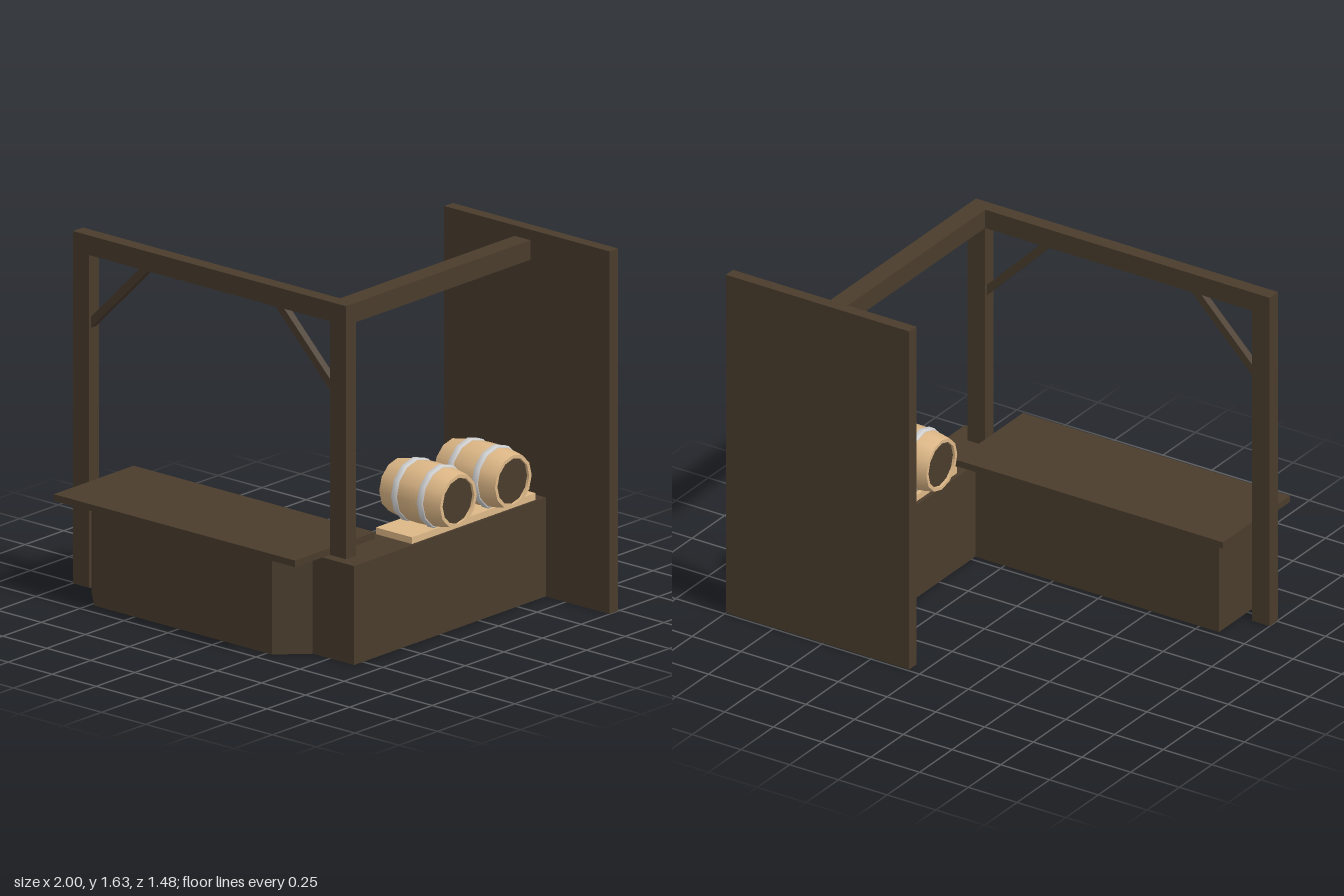
import * as THREE from 'three';

const mat = (name, color, side = THREE.FrontSide) => {
  const m = new THREE.MeshStandardMaterial({ color, side });
  m.name = name;
  return m;
};

export function createModel() {
  const darkWood = mat('dark wood', 0x4a3c2d);
  const paleWood = mat('pale wood', 0xdeb887, THREE.DoubleSide);
  const hoopMetal = mat('hoop metal', 0xd3d3d3, THREE.DoubleSide);

  const group = new THREE.Group();
  group.name = 'barCounter';

  const add = (name, geo, material, parent = group) => {
    const mesh = new THREE.Mesh(geo, material);
    mesh.name = name;
    parent.add(mesh);
    return mesh;
  };
  // Box given by its extents on each axis
  const box = (name, [x0, x1], [y0, y1], [z0, z1], material = darkWood) => {
    const geo = new THREE.BoxGeometry(x1 - x0, y1 - y0, z1 - z0);
    geo.translate((x0 + x1) / 2, (y0 + y1) / 2, (z0 + z1) / 2);
    return add(name, geo, material);
  };
  // Prism from an outline of [a, b] points
  const prism = (points, depth) => new THREE.ExtrudeGeometry(
    new THREE.Shape(points.map(([a, b]) => new THREE.Vector2(a, b))),
    { depth, bevelEnabled: false });

  // Back wall
  box('backWall', [0.06, 1], [0, 1.63], [-0.74, -0.685]);

  // Counters
  box('sideCounter', [0.4, 0.637], [0, 0.445], [-0.685, 0.557]);
  const body = prism([[-0.85, -0.28], [-0.85, -0.56], [-0.73, -0.68],
    [0.28, -0.68], [0.4, -0.56], [0.4, -0.28]], 0.445);
  body.rotateX(-Math.PI / 2);
  add('frontCounter', body, darkWood);
  box('counterTop', [-0.91, 0.46], [0.446, 0.476], [0.22, 0.737]);
  box('barrelPlank', [0.42, 0.625], [0.445, 0.475], [-0.633, 0.168], paleWood);

  // Posts and beams
  box('leftPost', [-1, -0.91], [0, 1.495], [0.445, 0.51]);
  box('rightPost', [0.46, 0.55], [0.445, 1.495], [0.445, 0.51]);
  box('frontBeam', [-1, 0.55], [1.495, 1.583], [0.445, 0.51]);
  box('sideBeam', [0.46, 0.55], [1.495, 1.583], [-0.685, 0.445]);

  // Diagonal braces, mirrored between the two posts
  for (const [name, x, s] of [['leftBrace', -0.91, 1], ['rightBrace', 0.46, -1]]) {
    const pts = [[x, 1.165], [x + s * 0.33, 1.495], [x + s * 0.28, 1.495], [x, 1.215]];
    const geo = prism(pts, 0.035);
    geo.translate(0, 0, 0.46);
    add(name, geo, darkWood);
  }

  // Barrels lying along x
  const sides = 12;
  const half = 0.173;
  const radiusAt = (t) => 0.137 - 0.018 * (t / half) ** 2;
  const lathe = (pts) => new THREE.LatheGeometry(
    pts.map(([r, y]) => new THREE.Vector2(r, y)), sides);

  for (const [i, z] of [-0.05, -0.405].entries()) {
    const barrel = new THREE.Group();
    barrel.name = `barrel${i + 1}`;
    barrel.position.set(0.525, 0.6, z);
    barrel.rotation.z = -Math.PI / 2;
    group.add(barrel);

    // Bulging staves
    const profile = [];
    for (let k = 0; k <= 8; k++) {
      const t = -half + (2 * half * k) / 8;
      profile.push([radiusAt(t), t]);
    }
    add('staves', lathe(profile), paleWood, barrel);

    for (const s of [-1, 1]) {
      // Flat rim, inner lip and recessed head
      add('rim', lathe([[radiusAt(half), s * half], [0.103, s * half]].sort((a, b) => s * (b[0] - a[0]))),
        paleWood, barrel);
      add('lip', lathe([[0.103, s * half], [0.103, s * (half - 0.015)]]), paleWood, barrel);
      const head = new THREE.CircleGeometry(0.103, sides);
      head.rotateX(-s * Math.PI / 2);
      head.translate(0, s * (half - 0.012), 0);
      add('head', head, darkWood, barrel);

      // Metal hoop
      const c = s * 0.073, w = 0.014, r = 0.141;
      add('hoop', lathe([[r - 0.009, c - w], [r, c - w], [r, c + w], [r - 0.009, c + w]]),
        hoopMetal, barrel);
    }
  }

  return group;
}
